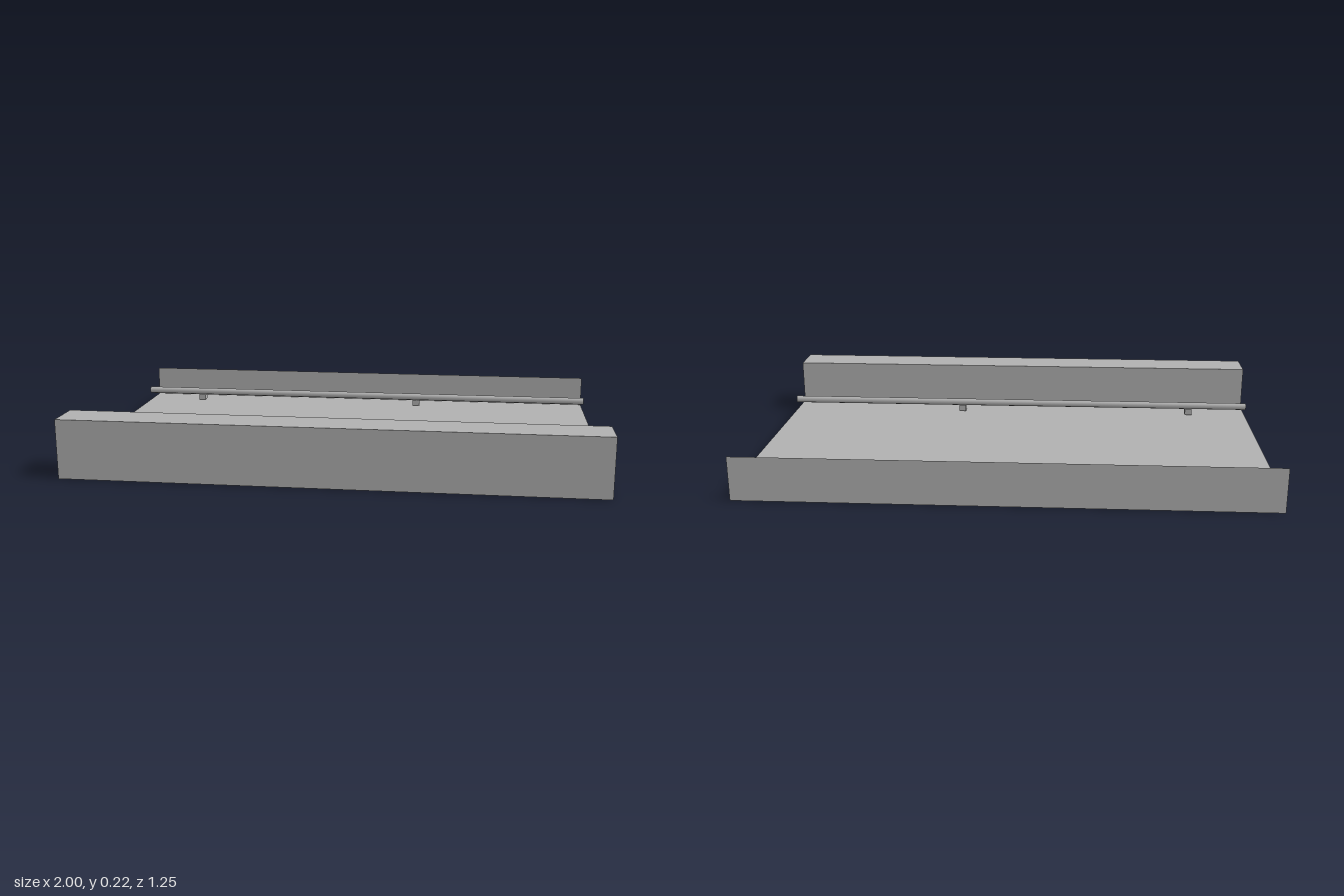
import * as THREE from 'three';

export function createModel() {
  const model = new THREE.Group();
  model.name = 'shelfTray';

  const grey = new THREE.MeshStandardMaterial({ color: 0xb2b2b2, side: THREE.DoubleSide });
  grey.name = 'plain grey';

  const add = (name, geometry, x, y, z) => {
    const mesh = new THREE.Mesh(geometry, grey);
    mesh.name = name;
    mesh.position.set(x, y, z);
    model.add(mesh);
    return mesh;
  };

  // Solid front beam
  add('frontBeam', new THREE.BoxGeometry(2, 0.225, 0.15), 0, 0.1125, 0.55);

  // Thin sheet base, from the back panel to the beam
  const sheet = new THREE.PlaneGeometry(2, 1.1).rotateX(-Math.PI / 2);
  add('baseSheet', sheet, 0, 0.045, -0.075);

  // Thin upright back panel, facing backwards
  const panel = new THREE.PlaneGeometry(2, 0.17).rotateY(Math.PI);
  add('backPanel', panel, 0, 0.085, -0.625);

  // Open-ended rods, each on two small support blocks
  const rod = new THREE.CylinderGeometry(0.015, 0.015, 2, 8, 1, true).rotateZ(Math.PI / 2);
  const block = new THREE.BoxGeometry(0.03, 0.025, 0.03);
  for (const [side, z] of [['front', 0.35], ['back', -0.5]]) {
    add(side + 'Rod', rod, 0, 0.09, z);
    for (const x of [-0.75, 0.25]) add(side + 'RodSupport', block, x, 0.065, z);
  }

  // Row of ribs under the sheet
  const rib = new THREE.BoxGeometry(0.05, 0.015, 0.25);
  for (let i = 0; i < 8; i++) add('underRib', rib, -0.875 + i * 0.25, 0.0373, -0.075);

  return model;
}
